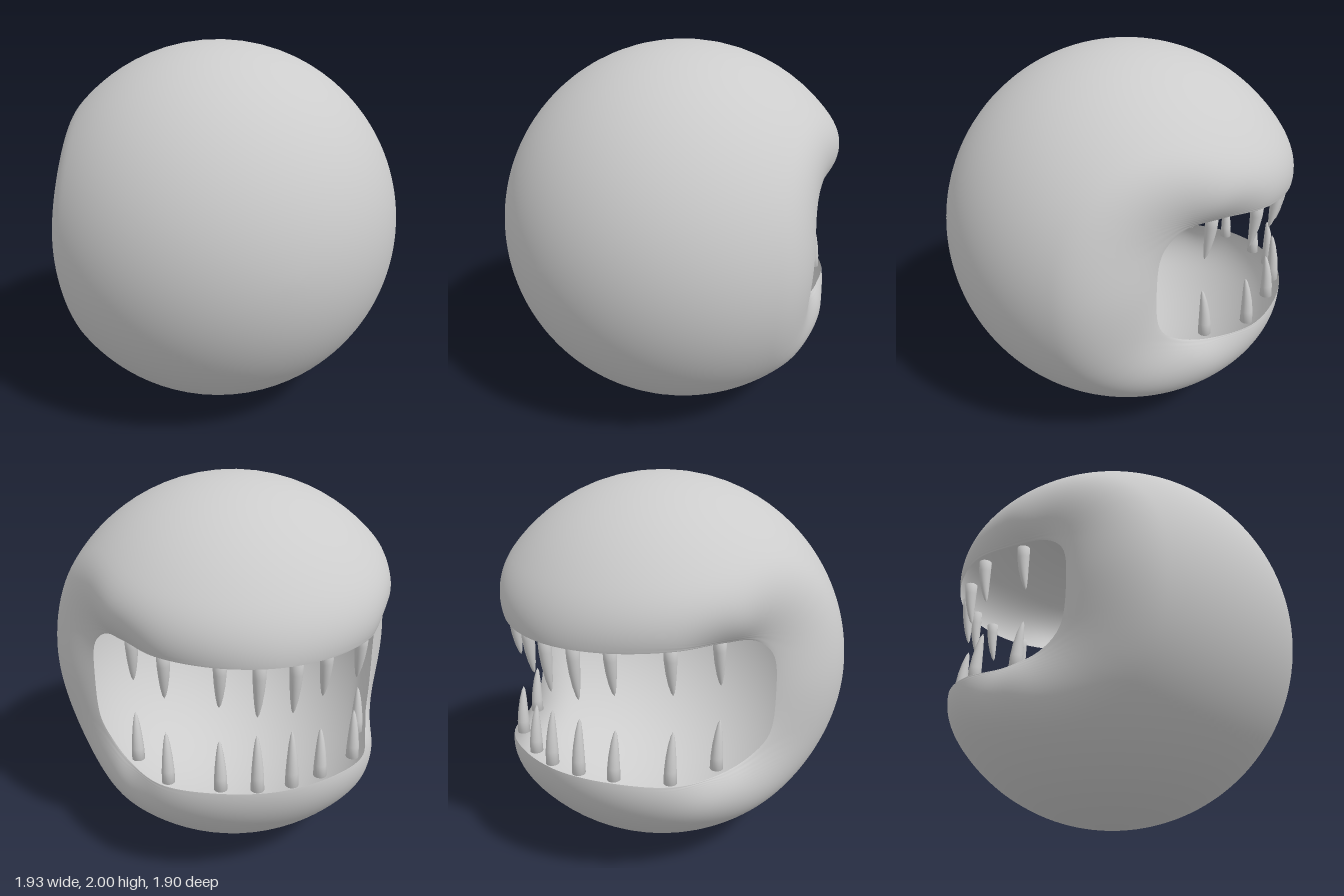
import * as THREE from 'three';

const CENTRE = new THREE.Vector3(0, 1, -0.05);

// One quarter of the mouth rim, from cheek corner to lip middle: x, rise of upper lip, z, drop of lower lip
const QUARTER = [
  [0.78, 0, -0.21, 0], [0.767, 0.2, -0.235, 0.23], [0.715, 0.29, -0.33, 0.32],
  [0.64, 0.315, -0.5, 0.365], [0.52, 0.32, -0.73, 0.36], [0.28, 0.312, -0.89, 0.34], [0, 0.31, -0.95, 0.335],
];

// Full closed rim, mirrored left-right, relative to the ball centre
function rimPoints(count) {
  const pts = [];
  QUARTER.forEach(([x, y, z]) => pts.push([x, y, z]));
  QUARTER.slice(0, -1).reverse().forEach(([x, y, z]) => pts.push([-x, y, z]));
  QUARTER.slice(1).forEach(([x, , z, drop]) => pts.push([-x, -drop, z]));
  QUARTER.slice(1, -1).reverse().forEach(([x, , z, drop]) => pts.push([x, -drop, z]));
  const curve = new THREE.CatmullRomCurve3(
    pts.map(([x, y, z]) => new THREE.Vector3(x, y, z - CENTRE.z)), true);
  return curve.getSpacedPoints(count).slice(0, count);
}

// Ball skin: meridians from the front pole to the rim, curling inward near the mouth.
// The curl is wide and soft at the cheeks, tight and rounded at the lips.
function bodyGeometry() {
  const cols = 176, rows = 80;
  const points = rimPoints(cols);
  const rim = points.map((p, j) => ({
    dir: p.clone().normalize(),
    edge: new THREE.Line3(p.clone().normalize(), points[(j + 1) % cols].clone().normalize()),
    dent: 1 - p.length(),
    cheek: THREE.MathUtils.smoothstep(p.z, -0.4, -0.17),
  }));
  const pole = new THREE.Vector3(0, 0, 1);
  const close = new THREE.Vector3();
  const position = [], index = [];

  const radiusAt = (dir) => {
    let nearest = 9, sum = 0, dent = 0, cheek = 0;
    for (const r of rim) {
      r.edge.closestPointToPoint(dir, true, close);
      nearest = Math.min(nearest, close.distanceTo(dir));
      const w = 1 / (dir.distanceToSquared(r.dir) + 0.0004) ** 2;
      sum += w;
      dent += w * r.dent;
      cheek += w * r.cheek;
    }
    const reach = THREE.MathUtils.lerp(0.3, 0.58, cheek / sum);
    const power = THREE.MathUtils.lerp(2.8, 1.7, cheek / sum);
    return 1 - (dent / sum) * Math.max(0, 1 - nearest / reach) ** power;
  };

  for (let i = 0; i <= rows; i++) {
    const t = 1 - (1 - i / rows) ** 1.5; // finer rows toward the rim
    for (let j = 0; j < cols; j++) {
      const axis = new THREE.Vector3().crossVectors(pole, rim[j].dir).normalize();
      const dir = pole.clone().applyAxisAngle(axis, pole.angleTo(rim[j].dir) * t);
      const p = dir.clone().multiplyScalar(radiusAt(dir)).add(CENTRE);
      position.push(p.x, p.y, p.z);
      if (i === rows) continue;
      const k = (j + 1) % cols;
      const a = i * cols + j, b = a + cols, c = (i + 1) * cols + k, d = i * cols + k;
      index.push(a, b, c);
      if (i > 0) index.push(a, c, d);
    }
  }
  const geo = new THREE.BufferGeometry();
  geo.setAttribute('position', new THREE.Float32BufferAttribute(position, 3));
  geo.setIndex(index);
  geo.computeVertexNormals();
  for (let j = 0; j < cols; j++) geo.attributes.normal.setXYZ(j, 0, 0, 1);
  return geo;
}

// Slender fang of unit height, its tip curving toward +z
function toothGeometry() {
  const profile = [[0, 0], [0.033, 0], [0.031, 0.25], [0.026, 0.5], [0.018, 0.75], [0.009, 0.93], [0, 1]]
    .map(([r, y]) => new THREE.Vector2(r, y));
  const geo = new THREE.LatheGeometry(profile, 16);
  const pos = geo.attributes.position;
  for (let i = 0; i < pos.count; i++) {
    pos.setZ(i, pos.getZ(i) + 0.024 * pos.getY(i) ** 2);
  }
  geo.computeVertexNormals();
  return geo;
}

export function createModel() {
  const model = new THREE.Group();
  model.name = 'toothyBall';
  const grey = new THREE.MeshStandardMaterial({ color: 0xcccccc, side: THREE.DoubleSide });
  grey.name = 'grey';

  const body = new THREE.Mesh(bodyGeometry(), grey);
  body.name = 'body';
  model.add(body);

  // Eight teeth per jaw: x, z, lower base height, lower length, upper length
  const upper = new THREE.Group(), lower = new THREE.Group();
  upper.name = 'upperTeeth';
  lower.name = 'lowerTeeth';
  model.add(upper, lower);
  const geo = toothGeometry();
  const teeth = [
    [0.6, -0.468, 0.64, 0.255, 0.245], [0.48, -0.7, 0.635, 0.26, 0.24],
    [0.25, -0.84, 0.65, 0.25, 0.245], [0.085, -0.9, 0.66, 0.28, 0.285],
  ];
  for (const [x, z, base, lowLength, highLength] of teeth) {
    for (const side of [-1, 1]) {
      const low = new THREE.Mesh(geo, grey);
      low.name = 'lowerTooth';
      low.position.set(side * x, base, z);
      low.scale.y = lowLength;
      lower.add(low);

      const high = new THREE.Mesh(geo, grey);
      high.name = 'upperTooth';
      high.position.set(side * x, 1.32, z);
      high.rotation.z = Math.PI;
      high.scale.y = highLength;
      upper.add(high);
    }
  }
  return model;
}
